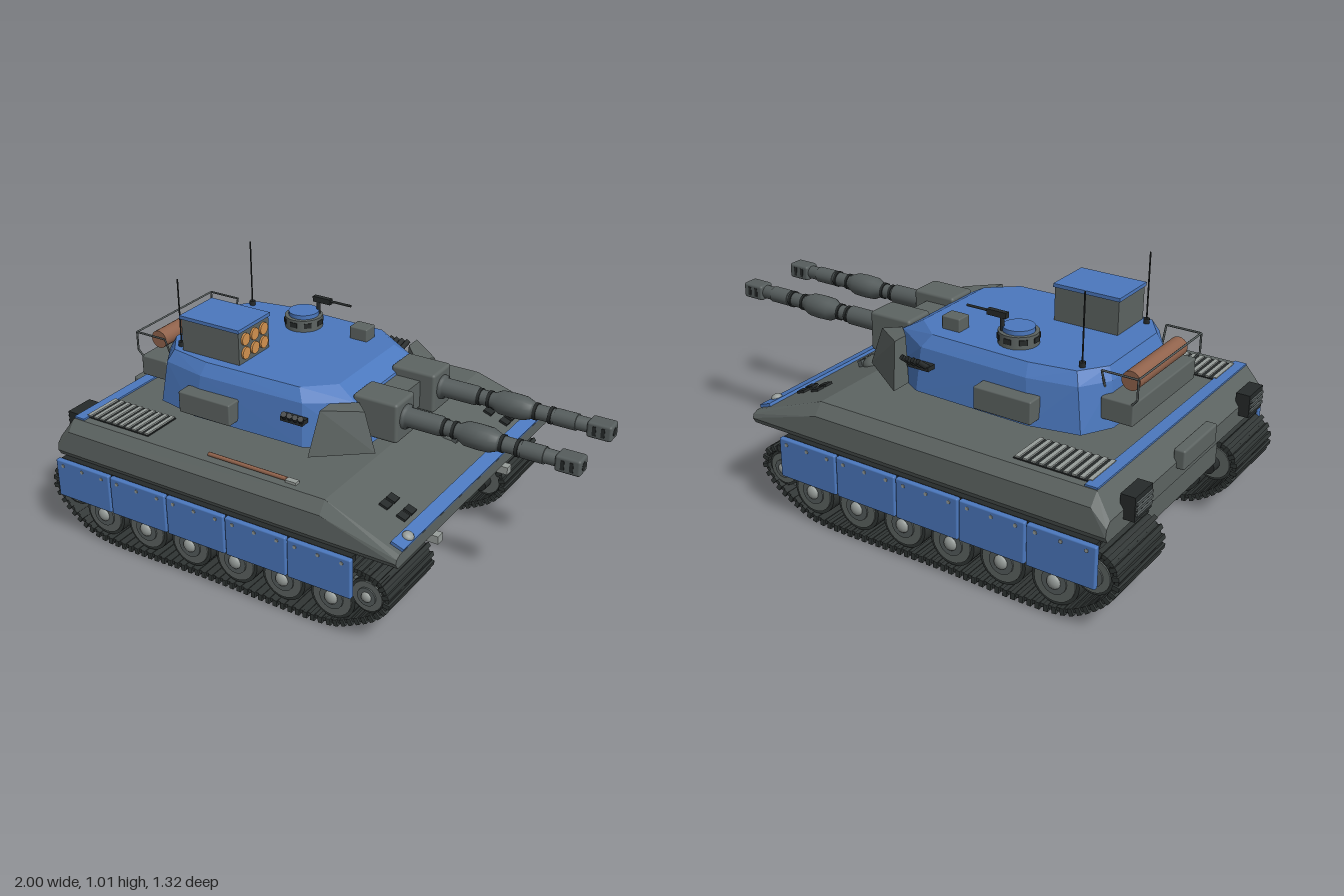
import * as THREE from 'three';
import { mergeGeometries } from 'three/addons/utils/BufferGeometryUtils.js';
import { ConvexGeometry } from 'three/addons/geometries/ConvexGeometry.js';
import { RoundedBoxGeometry } from 'three/addons/geometries/RoundedBoxGeometry.js';

const paint = (name, color) => Object.assign(new THREE.MeshStandardMaterial({ color }), { name });
const blue = paint('blue armour', 0x4b78be);
const grey = paint('grey armour', 0x5d6462);
const steel = paint('gun steel', 0x565d5d);
const dark = paint('dark metal', 0x262a2a);
const rubber = paint('track', 0x303534);
const light = paint('light metal', 0x979d9a);
const brown = paint('canvas brown', 0x91634c);
const orange = paint('orange', 0xd69450);
const V = (x, y, z) => new THREE.Vector3(x, y, z);

export function createModel() {
  const model = new THREE.Group();
  model.name = 'tank';

  const add = (name, geo, mat, x = 0, y = 0, z = 0, parent = model) => {
    const m = new THREE.Mesh(geo, mat);
    m.name = name;
    m.position.set(x, y, z);
    parent.add(m);
    return m;
  };
  // box given by its minimum and maximum on each axis
  const box = (name, mat, [x0, x1], [y0, y1], [z0, z1], parent = model, r = 0) => {
    const s = [x1 - x0, y1 - y0, z1 - z0];
    const g = r ? new RoundedBoxGeometry(...s, 2, r) : new THREE.BoxGeometry(...s);
    return add(name, g, mat, (x0 + x1) / 2, (y0 + y1) / 2, (z0 + z1) / 2, parent);
  };
  const rod = (name, mat, a, b, r, parent = model, sides = 8) => {
    const d = b.clone().sub(a);
    const m = add(name, new THREE.CylinderGeometry(r, r, d.length(), sides), mat, 0, 0, 0, parent);
    m.position.copy(a).add(b).multiplyScalar(0.5);
    m.quaternion.setFromUnitVectors(V(0, 1, 0), d.normalize());
    return m;
  };
  const disc = (name, mat, x, y, z, r, depth, parent = model, sides = 24) =>
    rod(name, mat, V(x, y, z - depth / 2), V(x, y, z + depth / 2), r, parent, sides);
  const mirrored = (pts) => pts.flatMap(([x, y, z]) => [V(x, y, z), V(x, y, -z)]);

  // Upper hull: stations of x, shoulder height, top height, top half width
  const stations = [[-0.945, 0.39, 0.41, 0.6], [-0.885, 0.45, 0.495, 0.583],
    [0.25, 0.45, 0.495, 0.583], [0.555, 0.375, 0.385, 0.6]];
  const hullPoints = stations.flatMap(([x, ys, yt, w]) =>
    [[x, 0.337, 0.612], [x, 0.36, 0.626], [x, ys, 0.62], [x, yt, w]]);
  add('upperHull', new ConvexGeometry(mirrored(hullPoints)), grey);
  const belly = [[-0.92, 0.34], [-0.92, 0.22], [-0.82, 0.12], [0.3, 0.12], [0.47, 0.24], [0.49, 0.34]];
  add('lowerHull', new ConvexGeometry(mirrored(belly.map(([x, y]) => [x, y, 0.275]))), grey);

  // Deck fittings
  box('rearStripe', blue, [-0.885, -0.838], [0.49, 0.502], [-0.58, 0.58]);
  for (const s of [1, -1]) {
    const z = s * 0.468;
    box('grilleBase', dark, [-0.855, -0.55], [0.49, 0.499], [z - 0.083, z + 0.083]);
    for (let i = 0; i < 10; i++) {
      const x = -0.84 + i * 0.0308;
      box('grilleSlat', light, [x - 0.008, x + 0.008], [0.495, 0.505], [z - 0.08, z + 0.08]);
    }
  }
  rod('shovelHandle', brown, V(-0.27, 0.504, 0.548), V(0.07, 0.504, 0.548), 0.008);
  box('shovelBlade', light, [0.07, 0.115], [0.496, 0.506], [0.536, 0.56]);

  // Sloping front deck, local x runs down the slope
  const glacis = new THREE.Group();
  glacis.name = 'frontDeck';
  glacis.position.set(0.25, 0.495, 0);
  glacis.rotation.z = -0.346;
  model.add(glacis);
  box('frontStripe', blue, [0.272, 0.324], [-0.004, 0.012], [-0.58, 0.58], glacis);
  for (const s of [1, -1]) {
    const lamp = add('headlight', new THREE.SphereGeometry(0.022, 12, 8), light, 0.3, 0.012, s * 0.51, glacis);
    lamp.scale.y = 0.7;
    for (const x of [0.16, 0.234]) for (const z of [0.382, 0.43])
      box('vent', dark, [x - 0.018, x + 0.018], [-0.004, 0.009], [s * z - 0.018, s * z + 0.018], glacis);
  }
  const hatch = add('driverHatch', new THREE.SphereGeometry(0.055, 16, 6, 0, 7, 0, Math.PI / 2), grey, 0.11, 0, -0.133, glacis);
  hatch.scale.y = 0.6;
  for (const z of [-0.165, -0.133, -0.101])
    box('periscope', steel, [0.145, 0.165], [0, 0.025], [z - 0.011, z + 0.011], glacis);

  // Rear and nose fittings
  box('rearLocker', grey, [-0.975, -0.93], [0.385, 0.46], [-0.13, 0.13], model, 0.008);
  for (const s of [1, -1]) {
    box('exhaust', dark, [-0.985, -0.93], [0.375, 0.465], [s * 0.45 - 0.06, s * 0.45 + 0.06]);
    for (const y of [0.4, 0.42, 0.44])
      box('exhaustFin', steel, [-0.992, -0.98], [y - 0.005, y + 0.005], [s * 0.45 - 0.055, s * 0.45 + 0.055]);
    box('towHook', light, [0.46, 0.545], [0.255, 0.287], [s * 0.285 - 0.018, s * 0.285 + 0.018]);
  }

  // Running gear
  const loop = [[-0.76, 0.016], [-0.25, 0.016], [0.28, 0.016], [0.36, 0.045], [0.47, 0.11], [0.512, 0.17],
    [0.49, 0.235], [0.43, 0.262], [0, 0.27], [-0.4, 0.27], [-0.89, 0.29], [-0.96, 0.26], [-0.983, 0.19],
    [-0.95, 0.125], [-0.85, 0.045]];
  const path = new THREE.CatmullRomCurve3(loop.map(([x, y]) => V(x, y, 0)), true, 'centripetal');
  const links = [];
  const count = 100;
  for (let i = 0; i < count; i++) {
    const p = path.getPointAt(i / count), t = path.getTangentAt(i / count);
    const a = Math.atan2(t.y, t.x);
    links.push(
      new THREE.BoxGeometry(0.036, 0.014, 0.31).rotateZ(a).translate(p.x, p.y, 0),
      new THREE.BoxGeometry(0.017, 0.026, 0.326).translate(0, -0.003, 0).rotateZ(a).translate(p.x, p.y, 0));
  }
  const trackGeo = mergeGeometries(links);
  for (const s of [1, -1]) {
    add('track', trackGeo, rubber, 0, 0, s * 0.455);
    const wheel = (name, x, y, r) => {
      for (const z of [0.375, 0.545]) {
        disc(name + 'Tyre', rubber, x, y, s * z, r, 0.11);
        disc(name + 'Disc', grey, x, y, s * z, r * 0.86, 0.122);
      }
      disc(name + 'Axle', dark, x, y, s * 0.4, r * 0.35, 0.27);
      disc(name + 'Ring', steel, x, y, s * 0.605, r * 0.52, 0.014);
      const cap = add(name + 'Hub', new THREE.SphereGeometry(r * 0.3, 12, 8), light, x, y, s * 0.61);
      cap.scale.z = 0.6;
    };
    for (let i = 0; i < 6; i++) wheel('roadWheel', -0.754 + i * 0.2086, 0.12, 0.092);
    wheel('idler', -0.895, 0.195, 0.075);
    wheel('sprocket', 0.433, 0.175, 0.07);
    for (let i = 0; i < 12; i++) {
      const a = i * Math.PI / 6;
      disc('sprocketTooth', steel, 0.433 + 0.07 * Math.cos(a), 0.175 + 0.07 * Math.sin(a), s * 0.575, 0.011, 0.03, model, 6);
    }
    // Side skirts with bolts
    for (let i = 0; i < 5; i++) {
      const x = -0.932 + i * 0.267;
      box('skirt', blue, [x, x + 0.261], [0.178, 0.338], [s * 0.647 - 0.011, s * 0.647 + 0.011], model, 0.006);
      for (const bx of [0.035, 0.13, 0.226]) disc('skirtBolt', light, x + bx, 0.317, s * 0.658, 0.007, 0.006, model, 8);
    }
    box('skirtMount', dark, [-0.92, 0.39], [0.31, 0.338], [s * 0.624 - 0.014, s * 0.624 + 0.014]);
  }

  // Turret body
  rod('turretRing', dark, V(-0.28, 0.485, 0), V(-0.28, 0.52, 0), 0.31, model, 40);
  const plan = [[-0.735, 0.2], [-0.67, 0.315], [-0.48, 0.355], [0, 0.345], [0.2, 0.23]];
  const waist = [[-0.715, 0.19], [-0.645, 0.3], [-0.46, 0.335], [-0.01, 0.325], [0.15, 0.22]];
  const roof = [[-0.695, 0.175], [-0.625, 0.275], [-0.45, 0.305], [-0.04, 0.295], [0.07, 0.2]];
  const ring = (pts, y) => pts.map(([x, z]) => [x, y, z]);
  add('turret', new ConvexGeometry(mirrored([...ring(plan, 0.512), ...ring(waist, 0.68), ...ring(roof, 0.726)])), blue);

  for (const s of [1, -1]) {
    // Wedge cheek plates
    const cheek = [[0.06, 0.515, 0.4], [0.06, 0.515, 0.31], [0.265, 0.53, 0.27], [0.2, 0.52, 0.21],
      [0.085, 0.69, 0.355], [0.085, 0.69, 0.29], [0.215, 0.68, 0.262], [0.16, 0.68, 0.21]];
    add('cheekPlate', new ConvexGeometry(cheek.map(([x, y, z]) => V(x, y, z * s))), grey);
    box('sideLocker', grey, [-0.52, -0.285], [0.54, 0.627], [s * 0.365 - 0.033, s * 0.365 + 0.033], model, 0.006);
    // Smoke dischargers
    box('smokeRack', dark, [-0.075, 0.02], [0.615, 0.632], [s * 0.352 - 0.02, s * 0.352 + 0.02]);
    for (let i = 0; i < 4; i++) {
      const x = -0.065 + i * 0.024;
      rod('smokeTube', dark, V(x, 0.622, s * 0.355), V(x + 0.02, 0.657, s * 0.392), 0.011);
    }
    // Twin guns
    const z = s * 0.14;
    box('mantlet', grey, [0.13, 0.315], [0.548, 0.706], [z - 0.067, z + 0.067], model, 0.012);
    const profile = [[0, 0.3], [0.047, 0.3], [0.047, 0.325], [0.037, 0.33], [0.037, 0.46], [0.029, 0.465], [0.029, 0.53],
      [0.045, 0.56], [0.047, 0.61], [0.045, 0.655], [0.033, 0.685], [0.029, 0.69], [0.027, 0.91], [0, 0.91]];
    const barrel = add('barrel', new THREE.LatheGeometry(profile.map(([r, h]) => new THREE.Vector2(r, h)), 20), steel, 0, 0.635, z);
    barrel.rotation.z = -Math.PI / 2;
    for (const x of [0.475, 0.515, 0.7, 0.76]) rod('barrelBand', dark, V(x - 0.006, 0.635, z), V(x + 0.006, 0.635, z), 0.033, model, 20);
    rod('barrelCollar', steel, V(0.775, 0.635, z), V(0.86, 0.635, z), 0.032, model, 20);
    box('muzzleBrake', steel, [0.905, 1], [0.604, 0.666], [z - 0.034, z + 0.034], model, 0.01);
    for (const x of [0.935, 0.968]) {
      box('muzzleSlot', dark, [x - 0.007, x + 0.007], [0.617, 0.653], [z - 0.036, z + 0.036]);
    }
    rod('bore', dark, V(0.99, 0.635, z), V(1.001, 0.635, z), 0.017, model, 16);
    // Antennas
    rod('antennaBase', dark, V(-0.622, 0.71, s * 0.235), V(-0.622, 0.745, s * 0.235), 0.012);
    rod('antenna', dark, V(-0.622, 0.74, s * 0.235), V(-0.622, 1.0, s * 0.235), 0.003, model, 6);
  }
  box('mantletBridge', grey, [0.1, 0.255], [0.565, 0.67], [-0.08, 0.08]);

  // Rocket launcher
  box('launcherBox', grey, [-0.592, -0.328], [0.72, 0.858], [0.07, 0.264]);
  box('launcherLid', blue, [-0.597, -0.323], [0.856, 0.87], [0.065, 0.269]);
  for (const y of [0.764, 0.82]) for (const z of [0.109, 0.167, 0.225])
    rod('rocket', orange, V(-0.335, y, z), V(-0.32, y, z), 0.024, model, 16);

  // Commander's cupola, gun and sight
  rod('cupola', grey, V(-0.33, 0.72, -0.176), V(-0.33, 0.773, -0.176), 0.075, model, 24);
  rod('cupolaHatch', blue, V(-0.33, 0.772, -0.176), V(-0.33, 0.79, -0.176), 0.06, model, 24);
  for (let i = 0; i < 8; i++) {
    const a = i * Math.PI / 4;
    const p = add('cupolaWindow', new THREE.BoxGeometry(0.008, 0.02, 0.03), dark, -0.33 + 0.073 * Math.cos(a), 0.752, -0.176 - 0.073 * Math.sin(a));
    p.rotation.y = a;
  }
  rod('gunPost', dark, V(-0.285, 0.76, -0.214), V(-0.285, 0.83, -0.214), 0.008);
  box('machineGun', dark, [-0.305, -0.225], [0.822, 0.844], [-0.224, -0.204]);
  rod('machineGunBarrel', dark, V(-0.23, 0.835, -0.214), V(-0.135, 0.835, -0.214), 0.005);
  box('sight', grey, [-0.11, -0.032], [0.72, 0.776], [-0.227, -0.163], model, 0.005);

  // Rear stowage, canvas roll and rail
  box('stowageBin', grey, [-0.825, -0.7], [0.555, 0.638], [-0.24, 0.24], model, 0.006);
  rod('canvasRoll', brown, V(-0.78, 0.693, -0.18), V(-0.78, 0.693, 0.18), 0.036, model, 20);
  const rail = (a, b) => rod('basketRail', steel, a, b, 0.004, model, 6);
  rail(V(-0.838, 0.735, -0.24), V(-0.838, 0.735, 0.24));
  for (const s of [1, -1]) {
    rail(V(-0.838, 0.735, s * 0.24), V(-0.7, 0.735, s * 0.24));
    rail(V(-0.838, 0.66, s * 0.24), V(-0.838, 0.735, s * 0.24));
    rail(V(-0.838, 0.66, s * 0.24), V(-0.81, 0.625, s * 0.235));
    rail(V(-0.7, 0.735, s * 0.24), V(-0.7, 0.63, s * 0.2));
  }
  return model;
}
